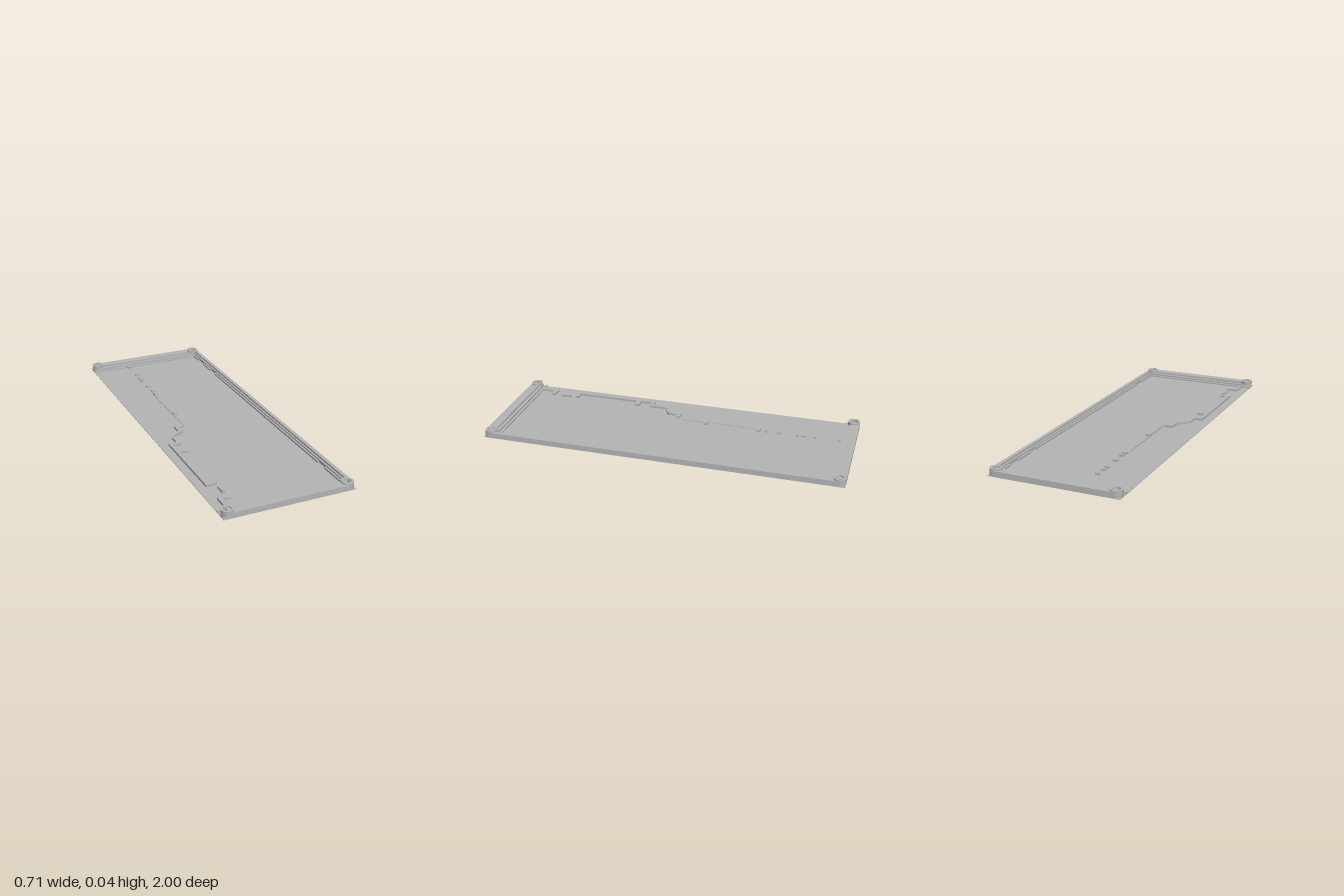
import * as THREE from 'three';

const W = 0.357; // half width of the tray
const T = 0.003; // floor thickness

export function createModel() {
  const tray = new THREE.Group();
  tray.name = 'tray';
  const grey = new THREE.MeshStandardMaterial({ color: 0xb4b4b4 });
  grey.name = 'plain grey';

  const add = (name, geometry) => {
    const mesh = new THREE.Mesh(geometry, grey);
    mesh.name = name;
    tray.add(mesh);
    return mesh;
  };
  // Box given by its plan rectangle and its bottom and top heights
  const block = (name, x0, x1, z0, z1, top, bottom = T) => {
    add(name, new THREE.BoxGeometry(x1 - x0, top - bottom, z1 - z0))
      .position.set((x0 + x1) / 2, (bottom + top) / 2, (z0 + z1) / 2);
  };
  // Upright prism from a plan outline of [x, z] points
  const prism = (name, points, top) => {
    const shape = new THREE.Shape(points.map(([x, z]) => new THREE.Vector2(x, -z)));
    const g = new THREE.ExtrudeGeometry(shape, { depth: top - T, bevelEnabled: false });
    add(name, g.rotateX(-Math.PI / 2).translate(0, T, 0));
  };

  block('floor', -W, W, -1, 1, T, 0);

  // Stepped end walls
  for (const s of [-1, 1]) {
    const end = s < 0 ? 'back' : 'front';
    const step = (name, x0, x1, a, b, top) =>
      block(end + name, x0, x1, Math.min(s * a, s * b), Math.max(s * a, s * b), top);
    step('Wall', -0.325, 0.325, 0.95, 1, 0.031);
    step('WallStep', -0.325, 0.337, 0.932, 0.95, 0.021);
    step('WallLedge', -0.357, 0.32, 0.918, 0.932, 0.011);
  }

  // Stepped long wall, with gaps in its inner ledge
  block('sideWall', 0.337, W, -0.967, 0.967, 0.031);
  block('sideWallStep', 0.327, 0.337, -0.932, 0.932, 0.021);
  for (const [z0, z1] of [[-0.918, -0.85], [-0.77, -0.65], [-0.59, 0.69], [0.76, 0.918]]) {
    block('sideWallLedge', 0.317, 0.327, z0, z1, 0.013);
  }

  // Corner screw posts with blind holes
  const ring = [[0.02, T], [0.033, T], [0.033, 0.039], [0.02, 0.039], [0.02, T]]
    .map(([r, y]) => new THREE.Vector2(r, y));
  for (const x of [-1, 1]) {
    for (const z of [-1, 1]) {
      const g = new THREE.LatheGeometry(ring, 24).toNonIndexed();
      g.computeVertexNormals();
      add('screwPost', g).position.set(x * 0.324, 0, z * 0.967);
    }
  }

  // Cranked inner rib
  prism('crankedRib', [
    [-0.155, 0.013], [-0.203, 0.013], [-0.203, 0.075], [-0.265, 0.135], [-0.265, 0.2],
    [-0.31, 0.2], [-0.31, 0.69], [-0.25, 0.69], [-0.25, 0.668], [-0.29, 0.668],
    [-0.29, 0.315], [-0.245, 0.315], [-0.245, 0.285], [-0.29, 0.285], [-0.29, 0.222],
    [-0.248, 0.222], [-0.248, 0.12], [-0.2, 0.1], [-0.183, 0.085], [-0.183, 0.034],
    [-0.155, 0.034],
  ], 0.016);

  // Short ribs near the front
  block('shortRib', -0.262, -0.245, 0.72, 0.775, 0.016);
  block('shortRib', -0.31, -0.245, 0.82, 0.842, 0.016);
  block('shortRib', -0.31, -0.29, 0.842, 0.918, 0.016);

  // Small stops along the open side
  for (const [z0, z1] of [[-0.918, -0.9], [-0.78, -0.768], [-0.722, -0.7], [-0.68, -0.668],
    [-0.585, -0.565], [-0.505, -0.49], [-0.468, -0.442], [-0.162, -0.14]]) {
    block('smallStop', -0.143, -0.118, z0, z1, 0.014);
  }

  // Row of tiny pegs
  for (let z = -0.42; z < 0.03; z += 0.018) {
    block('peg', -0.147, -0.141, z - 0.003, z + 0.003, 0.01);
  }

  return tray;
}
